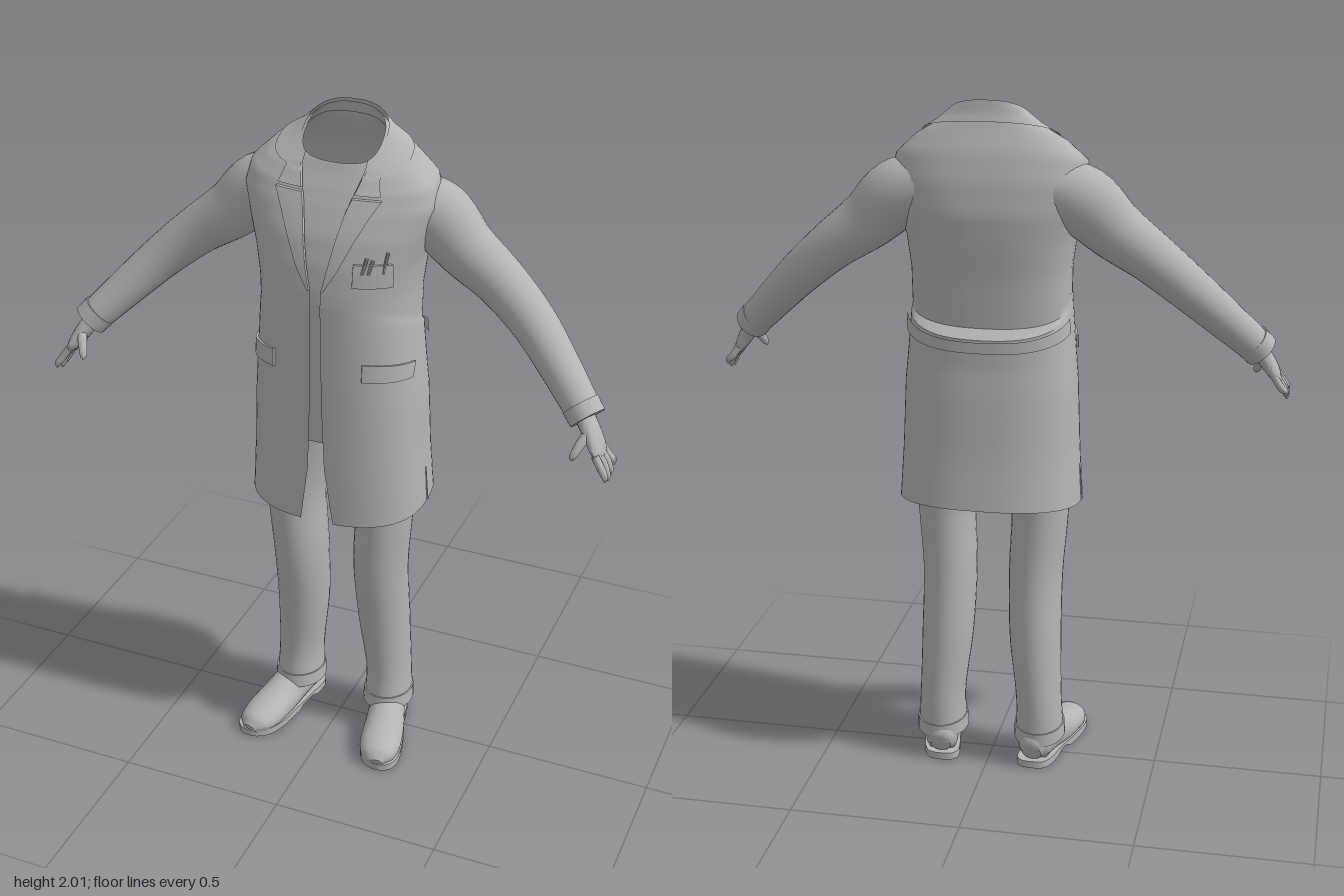
import * as THREE from 'three';
import { toCreasedNormals } from 'three/addons/utils/BufferGeometryUtils.js';

const V = (x, y, z) => new THREE.Vector3(x, y, z);
const lerp = THREE.MathUtils.lerp;
const grey = new THREE.MeshStandardMaterial({ color: 0xb4b4b4, side: THREE.DoubleSide });
grey.name = 'plain grey';

// Skin a grid of points: each row is one cross-section
function loft(rows) {
  const n = rows[0].length, pos = [], idx = [];
  rows.forEach(r => r.forEach(p => pos.push(p.x, p.y, p.z)));
  for (let i = 0; i < rows.length - 1; i++) {
    for (let j = 0; j < n - 1; j++) {
      const a = i * n + j, b = a + 1, c = a + n, d = c + 1;
      idx.push(a, b, d, a, d, c);
    }
  }
  const g = new THREE.BufferGeometry();
  g.setAttribute('position', new THREE.Float32BufferAttribute(pos, 3));
  g.setIndex(idx);
  return toCreasedNormals(g, 0.75);
}

const mirror = rows => rows.map(r => r.map(p => V(-p.x, p.y, p.z)).reverse());

// Close both ends of a tube of rings
function capped(rows) {
  const centre = r => {
    const c = V(0, 0, 0);
    r.slice(1).forEach(p => c.add(p));
    c.divideScalar(r.length - 1);
    return r.map(() => c.clone());
  };
  return [centre(rows[0]), ...rows, centre(rows[rows.length - 1])];
}

// Elliptic tube; each station is [x, y, z, radius along ref, radius across]
function sweep(st, n = 16, m = 20, ref = V(0, 0, 1), floor = -1) {
  const path = new THREE.CatmullRomCurve3(st.map(s => V(s[0], s[1], s[2])));
  const size = new THREE.CatmullRomCurve3(st.map(s => V(s[3], s[4], 0)));
  const rows = [];
  for (let i = 0; i <= n; i++) {
    const c = path.getPoint(i / n), r = size.getPoint(i / n), T = path.getTangent(i / n);
    const A = ref.clone().addScaledVector(T, -T.dot(ref)).normalize();
    const B = T.clone().cross(A), ring = [];
    for (let j = 0; j <= m; j++) {
      const t = (j % m) / m * Math.PI * 2;
      const p = c.clone().addScaledVector(A, r.x * Math.cos(t)).addScaledVector(B, r.y * Math.sin(t));
      p.y = Math.max(p.y, floor);
      ring.push(p);
    }
    rows.push(ring);
  }
  return capped(rows);
}

// Coat sections: height, half width, front z, back z, half opening, tilt
const COAT = [
  [0.84, .265, .185, -.23, .05, .1], [1.0, .255, .187, -.213, .025, 0],
  [1.2, .247, .187, -.197, .018, 0], [1.3, .238, .187, -.19, .016, -.2],
  [1.42, .228, .185, -.188, .014, -.4], [1.43, .226, .185, -.152, .014, -.4],
  [1.53, .228, .182, -.16, .015, -.1], [1.62, .24, .172, -.172, .03, 0],
  [1.70, .262, .15, -.178, .045, 0], [1.78, .282, .115, -.168, .06, .05],
  [1.84, .268, .09, -.148, .075, .2], [1.885, .215, .07, -.122, .085, .4],
  [1.915, .15, .06, -.106, .09, .6], [1.935, .112, .055, -.1, .09, .8],
];
const POW = 0.8, ZC = -0.02;
function section(y) {
  let i = 0;
  while (i < COAT.length - 2 && y > COAT[i + 1][0]) i++;
  const f = (y - COAT[i][0]) / (COAT[i + 1][0] - COAT[i][0]);
  return COAT[i].map((v, k) => lerp(v, COAT[i + 1][k], f));
}
const spow = v => Math.sign(v) * Math.pow(Math.abs(v), POW);
const angleAt = (s, x) => Math.sign(x) * Math.asin(Math.pow(Math.min(1, Math.abs(x) / s[1]), 1 / POW));
function coatPoint(s, t, off) {
  const c = Math.cos(t), depth = (c > 0 ? s[2] - ZC : ZC - s[3]) + off;
  const z = ZC + depth * spow(c);
  return V((s[1] + off) * spow(Math.sin(t)), s[0] - s[5] * (z - ZC), z);
}
// Wrap-around layer of the coat between two heights
function wrap(y0, y1, off, start) {
  const ys = [y0];
  COAT.forEach((r, i) => {
    for (let k = 0; k < 4; k++) {
      const y = lerp(r[0], (COAT[i + 1] || r)[0], k / 4);
      if (y > y0 + 1e-4 && y < y1 - 1e-4 && y > ys[ys.length - 1] + 1e-4) ys.push(y);
    }
  });
  ys.push(y1);
  return ys.map(y => {
    const s = section(y), t0 = start ?? angleAt(s, s[4]), ring = [];
    for (let j = 0; j <= 64; j++) ring.push(coatPoint(s, lerp(t0, Math.PI * 2 - t0, j / 64), off));
    return ring;
  });
}
// Thin raised panel lying on the coat front, with its rim turned in
function panel(y0, y1, xa, xb, off, n = 10) {
  const rows = [], f = k => THREE.MathUtils.clamp((k - 1) / n, 0, 1);
  for (let i = 0; i <= n + 2; i++) {
    const s = section(lerp(y0, y1, f(i))), row = [];
    for (let j = 0; j <= n + 2; j++) {
      const rim = i === 0 || j === 0 || i === n + 2 || j === n + 2;
      row.push(coatPoint(s, angleAt(s, lerp(xa(f(i), s), xb(f(i), s), f(j))), rim ? 0 : off));
    }
    rows.push(row);
  }
  return rows;
}

// Shoe stations from heel to toe
const SHOE = [
  [.14, .05, -.115, .03, .03], [.142, .062, -.09, .06, .048], [.16, .064, 0, .064, .054],
  [.18, .046, .08, .055, .061], [.197, .036, .16, .043, .063], [.207, .03, .21, .034, .05],
  [.212, .024, .236, .014, .022],
];
function sole() {
  const side = d => SHOE.map(s => V(s[0] + d * s[4] * 1.04, 0, s[2]));
  const edge = new THREE.CatmullRomCurve3([...side(1), ...side(-1).reverse()], true).getPoints(48);
  const ring = h => edge.map(p => V(p.x, h(p.z), p.z));
  // Raised arch in front of the heel
  const rows = [ring(z => (z > -.02 && z < .05 ? .012 : 0)), ring(() => .022)];
  return capped(rows.map(r => r.reverse()));
}

export function createModel() {
  const model = new THREE.Group();
  model.name = 'coatedFigure';
  const add = (name, rows) => {
    const m = new THREE.Mesh(loft(rows), grey);
    m.name = name;
    model.add(m);
  };
  const pair = (name, rows) => {
    add(name + 'Left', rows);
    add(name + 'Right', mirror(rows));
  };

  // Torso layers
  add('coat', wrap(0.84, 1.935, 0));
  add('shirt', wrap(1.08, 1.925, -0.012, 0));
  add('collar', wrap(1.898, 1.935, 0.008));
  add('backBelt', wrap(1.375, 1.42, 0.01, 1.8));

  // Lapels, collar tips and pockets
  pair('lapel', panel(1.54, 1.825, (f, s) => s[4], f => lerp(.022, .15, f), .008));
  pair('collarTip', panel(1.838, 1.9, (f, s) => s[4], f => lerp(.145, .13, f), .008));
  pair('hipPocket', panel(1.27, 1.31, () => .13, () => .234, .007));
  add('chestPocket', panel(1.57, 1.645, () => .1, () => .195, .007));

  // Pens standing in the chest pocket
  [[.125, 1.665], [.14, 1.66], [.175, 1.68]].forEach(([x, y], i) => {
    const s = section(1.62), p = coatPoint(s, angleAt(s, x), .004);
    const q = coatPoint(section(y), angleAt(section(y), x + .008), .008);
    add('pen' + (i + 1), sweep([[p.x, p.y, p.z, .005, .005], [q.x, q.y, q.z, .005, .005]], 2, 8));
  });

  // Side vents at the hem
  pair('sideVent', sweep([[.265, .842, -.02, .004, .004], [.258, .95, -.02, .002, .002]], 3, 8));

  // Sleeves and cuffs
  pair('sleeve', sweep([
    [.15, 1.775, -.055, .085, .075], [.26, 1.73, -.055, .088, .098], [.35, 1.65, -.045, .077, .085],
    [.455, 1.573, -.036, .07, .072], [.56, 1.483, -.01, .065, .064], [.665, 1.38, .045, .056, .056],
    [.752, 1.292, .098, .05, .049],
  ], 30, 28));
  pair('cuff', sweep([[.73, 1.317, .086, .054, .053], [.757, 1.287, .1, .053, .052]], 3, 28));

  // Hands
  pair('palm', sweep([
    [.735, 1.308, .09, .03, .026], [.772, 1.258, .113, .038, .024],
    [.797, 1.217, .125, .045, .018], [.808, 1.197, .128, .04, .01],
  ], 10));
  [-.036, -.012, .012, .036].forEach((o, i) => {
    const short = [.02, .004, 0, .012][i];
    pair('finger' + (i + 1), sweep([
      [.8, 1.212, .127 + o, .012, .011], [.823, 1.178, .129 + o * 1.15, .011, .011],
      [.834, 1.15 + short, .133 + o * 1.2, .009, .009], [.836, 1.137 + short, .135 + o * 1.2, .003, .003],
    ], 8, 10));
  });
  pair('thumb', sweep([
    [.768, 1.258, .135, .016, .015], [.752, 1.228, .165, .013, .013],
    [.743, 1.205, .18, .01, .01], [.741, 1.197, .184, .003, .003],
  ], 8, 10));

  // Trousers
  pair('trouserLeg', sweep([
    [.15, .1, -.032, .09, .072], [.148, .2, -.037, .088, .068], [.134, .4, -.025, .095, .077],
    [.13, .6, -.002, .103, .08], [.14, .8, .004, .107, .084], [.132, .95, 0, .118, .1],
    [.11, 1.1, 0, .125, .112],
  ], 28, 28));
  pair('trouserHem', sweep([[.15, .08, -.03, .095, .077], [.15, .122, -.033, .093, .075]], 3, 28));

  // Shoes
  pair('shoe', sweep(SHOE, 24, 28, V(0, 1, 0), .01));
  pair('sole', sole());
  return model;
}
